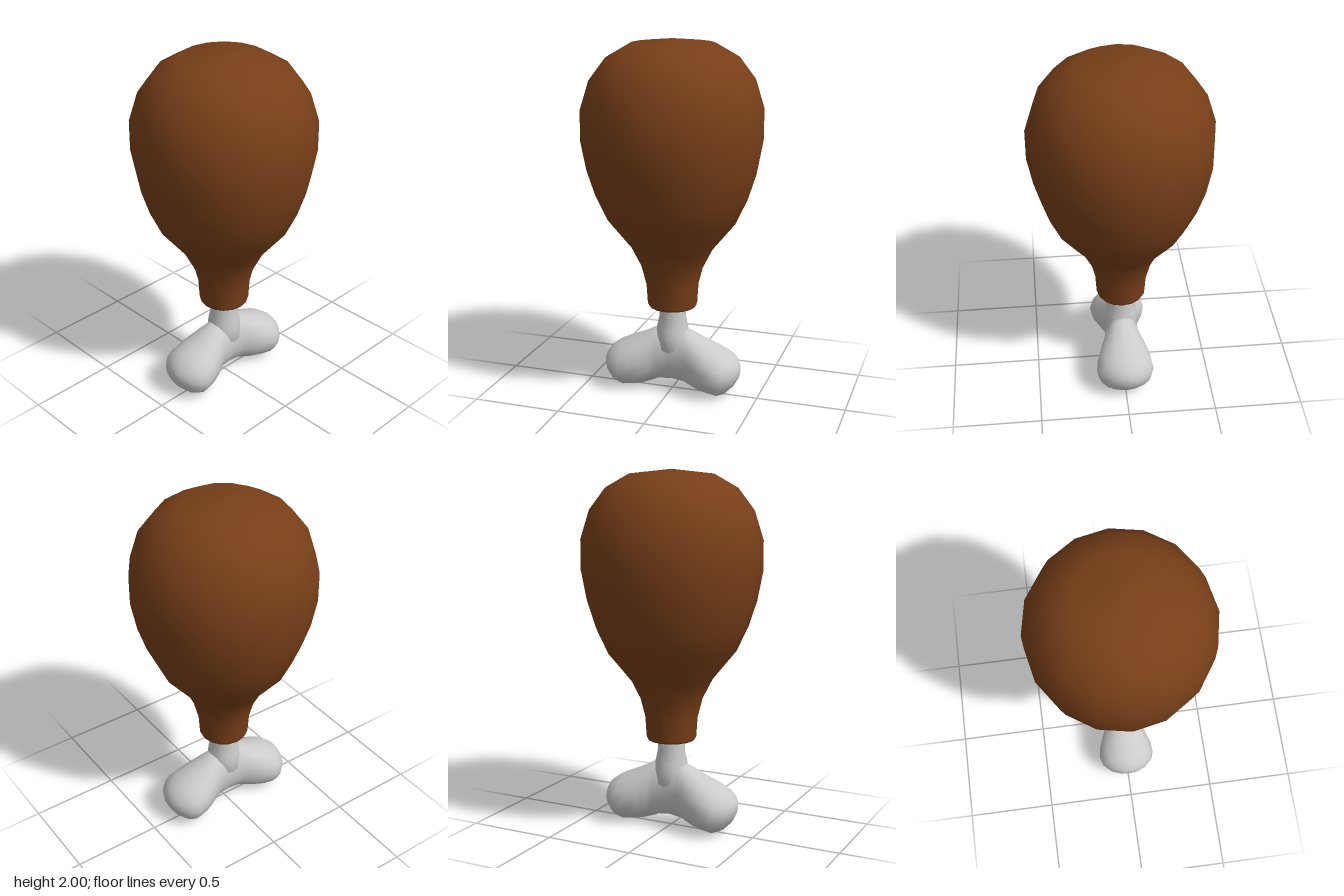
import * as THREE from 'three';

const SIDES = 16;

function lathe(profile, material, name) {
  const points = profile.map(([r, y]) => new THREE.Vector2(r, y));
  const mesh = new THREE.Mesh(new THREE.LatheGeometry(points, SIDES), material);
  mesh.name = name;
  return mesh;
}

// Smooth skin over elliptical rings [x, top, bottom, half depth] strung along x
function loft(rings) {
  const pos = [], index = [];
  rings.forEach(([x, top, bottom, depth], i) => {
    for (let j = 0; j < SIDES; j++) {
      const a = (j / SIDES) * Math.PI * 2;
      pos.push(x, (top + bottom) / 2 + Math.cos(a) * (top - bottom) / 2, Math.sin(a) * depth);
      if (i === rings.length - 1) continue;
      const k = (j + 1) % SIDES, p = i * SIDES, q = p + SIDES;
      index.push(p + j, p + k, q + j, p + k, q + k, q + j);
    }
  });
  // Close both ends
  const last = (rings.length - 1) * SIDES;
  for (let j = 1; j < SIDES - 1; j++) {
    index.push(0, j + 1, j, last, last + j, last + j + 1);
  }
  const geometry = new THREE.BufferGeometry();
  geometry.setAttribute('position', new THREE.Float32BufferAttribute(pos, 3));
  geometry.setIndex(index);
  geometry.computeVertexNormals();
  return geometry;
}

export function createModel() {
  const group = new THREE.Group();
  group.name = 'drumstick';
  const brown = new THREE.MeshStandardMaterial({ color: 0x783f18, side: THREE.DoubleSide });
  const grey = new THREE.MeshStandardMaterial({ color: 0xcccccc });

  // Meat, with a rolled lip tucked in around the bone
  group.add(lathe([
    [0.07, 0.55], [0.095, 0.515], [0.115, 0.5], [0.132, 0.505], [0.14, 0.52],
    [0.147, 0.63], [0.175, 0.74], [0.23, 0.85], [0.36, 1.01], [0.425, 1.15],
    [0.47, 1.29], [0.5, 1.45], [0.5, 1.62], [0.45, 1.78], [0.36, 1.9],
    [0.23, 1.975], [0, 2],
  ], brown, 'meat'));

  // Bone shaft, flaring slightly into the fork
  group.add(lathe([
    [0.05, 0.15], [0.1, 0.26], [0.095, 0.33], [0.09, 0.375], [0.076, 0.44], [0.076, 0.56],
  ], grey, 'boneShaft'));

  // Forked knuckle: one half of the rings, mirrored for the other
  const half = [
    [0.08, 0.372, 0.05, 0.1], [0.11, 0.36, 0.037, 0.112], [0.16, 0.332, 0.018, 0.135],
    [0.22, 0.304, 0.008, 0.158], [0.28, 0.278, 0, 0.165], [0.325, 0.255, 0.02, 0.15],
    [0.365, 0.225, 0.06, 0.11], [0.388, 0.19, 0.1, 0.06], [0.395, 0.165, 0.13, 0.02],
  ];
  const mirrored = half.map(([x, ...rest]) => [-x, ...rest]).reverse();
  const knuckle = new THREE.Mesh(loft([...mirrored, [0, 0.38, 0.06, 0.095], ...half]), grey);
  knuckle.name = 'boneKnuckle';
  group.add(knuckle);

  return group;
}
